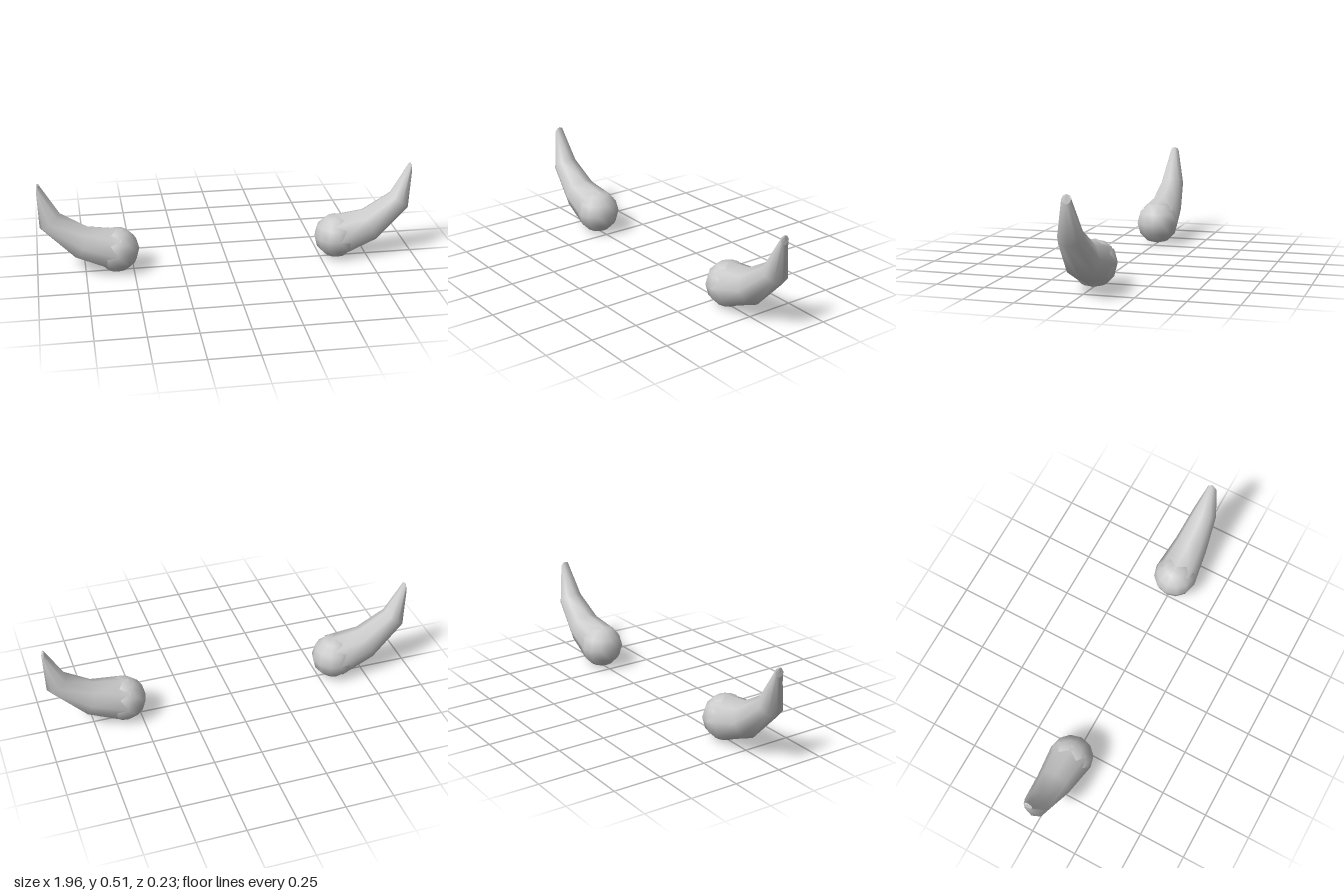
import * as THREE from 'three';

const SIDES = 8;

// Skin rings of [x, y, radius, tilt, zRadius]; tilt is the heading of the curve in the xy plane.
function loft(rings) {
  const pos = [], index = [];
  for (const [x, y, r, tilt, rz = r] of rings) {
    for (let j = 0; j < SIDES; j++) {
      const a = (j / SIDES) * Math.PI * 2;
      const u = Math.cos(a) * r;
      pos.push(x - Math.sin(tilt) * u, y + Math.cos(tilt) * u, Math.sin(a) * rz);
    }
  }
  for (let i = 0; i < rings.length - 1; i++) {
    for (let j = 0; j < SIDES; j++) {
      const a = i * SIDES + j, b = i * SIDES + (j + 1) % SIDES;
      index.push(a, b, a + SIDES, b, b + SIDES, a + SIDES);
    }
  }
  const geo = new THREE.BufferGeometry();
  geo.setAttribute('position', new THREE.Float32BufferAttribute(pos, 3));
  geo.setIndex(index);
  geo.computeVertexNormals();
  return geo;
}

function createHorn(name) {
  const horn = new THREE.Group();
  horn.name = name;
  const smooth = new THREE.MeshStandardMaterial({ color: 0xcccccc });
  const faceted = new THREE.MeshStandardMaterial({ color: 0xcccccc, flatShading: true });
  const add = (part, geo, mat) => {
    const mesh = new THREE.Mesh(geo, mat);
    mesh.name = part;
    horn.add(mesh);
    return mesh;
  };

  // rounded root
  add('hornRoot', new THREE.SphereGeometry(0.117, 12, 6), smooth).position.set(0.585, 0.117, 0);

  // tapering shaft, bending upward
  const tip = [0.976, 0.485, 0.024, 0.24];
  add('hornShaft', loft([
    [0.585, 0.118, 0.117, 0.28],
    [0.765, 0.17, 0.092, 0.39],
    [0.922, 0.302, 0.065, 0.95],
    tip,
  ]), smooth);

  // blunt wedge-shaped tip
  add('hornTip', loft([
    tip,
    [0.978, 0.495, 0.011, 0.1, 0.002],
    [0.978, 0.496, 0, 0.1],
  ]), faceted);
  return horn;
}

export function createModel() {
  const model = new THREE.Group();
  model.name = 'horns';
  const left = createHorn('leftHorn');
  // each horn is symmetric front to back, so a half turn mirrors it
  const right = createHorn('rightHorn');
  right.rotation.y = Math.PI;
  model.add(left, right);
  return model;
}
